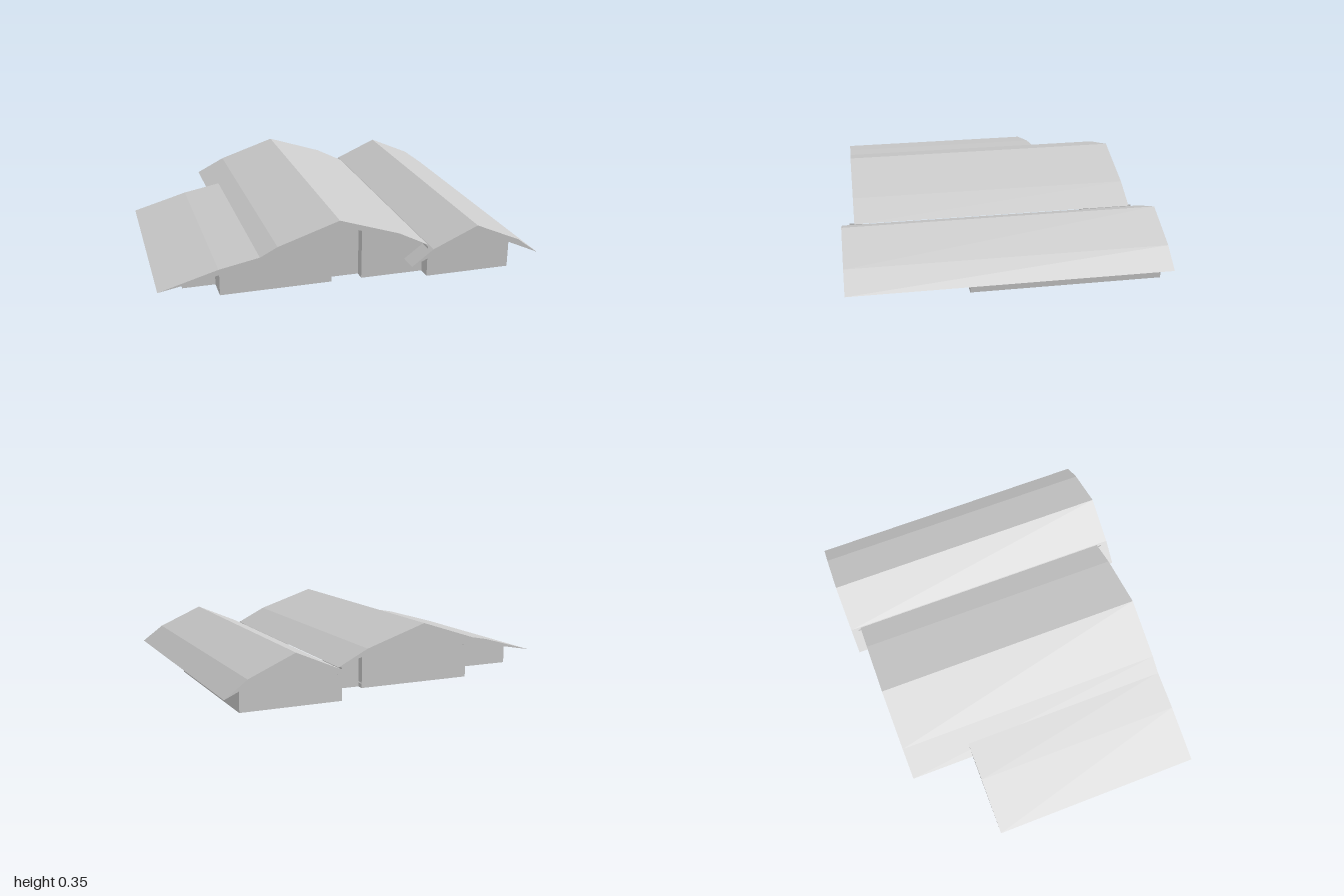
import * as THREE from 'three';

const material = new THREE.MeshStandardMaterial({ color: 0xcccccc, flatShading: true, side: THREE.DoubleSide });

// Roof: closed x/y profile extruded between two z positions
function roof(name, profile, zBack, zFront) {
  const shape = new THREE.Shape(profile.map(([x, y]) => new THREE.Vector2(x, y)));
  const geometry = new THREE.ExtrudeGeometry(shape, { depth: zFront - zBack, bevelEnabled: false });
  geometry.translate(0, 0, zBack);
  const mesh = new THREE.Mesh(geometry, material);
  mesh.name = name;
  return mesh;
}

// Symmetric gable with a kinked upper slope and a straight underside
function gable(cx, peak, under, kinkX, kinkY, eaveX, eaveY) {
  return [[cx - eaveX, eaveY], [cx, under], [cx + eaveX, eaveY],
    [cx + kinkX, kinkY], [cx, peak], [cx - kinkX, kinkY]];
}

// Undersides of the three roofs: [x0, y0, x1, y1]
const soffits = [
  [-1, 0.075, -0.43, 0.18],
  [-0.43, 0.206, -0.08, 0.32],
  [-0.08, 0.32, 0.385, 0.166],
  [0.385, 0.123, 0.64, 0.24],
  [0.64, 0.24, 1, 0.08],
];
const heightOn = ([x0, y0, x1, y1], x) => y0 + (y1 - y0) * (x - x0) / (x1 - x0);

// Ground plan of the outer walls, as x/z corners
const plan = [
  [0.845, 0.77], [0.845, 0.2], [0.91, 0.2], [0.91, -0.775], [0.385, -0.775], [0.385, -0.54],
  [0.18, -0.54], [0.18, -0.58], [-0.45, -0.58], [-0.45, -0.36], [-0.86, -0.36], [-0.86, 0.57],
  [-0.69, 0.57], [-0.69, 0.7], [-0.11, 0.7], [-0.11, 0.645], [0.05, 0.645], [0.05, 0.7],
  [0.385, 0.7], [0.385, 0.77],
];

// Walls: vertical sheets that rise to the roof undersides
function walls() {
  const pos = [];
  const panel = (xa, za, ya, xb, zb, yb) => pos.push(
    xa, 0, za, xb, 0, zb, xb, yb, zb,
    xa, 0, za, xb, yb, zb, xa, ya, za);
  plan.forEach(([xa, za], i) => {
    const [xb, zb] = plan[(i + 1) % plan.length];
    if (xa === xb) {
      const s = soffits.find((q) => xa >= q[0] && xa <= q[2]);
      const y = Math.min(heightOn(s, xa), 0.3);
      panel(xa, za, y, xb, zb, y);
      return;
    }
    const lo = Math.min(xa, xb), hi = Math.max(xa, xb);
    for (const s of soffits) {
      const a = Math.max(lo, s[0]), b = Math.min(hi, s[2]);
      if (b - a < 1e-6) continue;
      const ya = heightOn(s, a), yb = heightOn(s, b);
      if (xb > xa) panel(a, za, ya, b, za, yb);
      else panel(b, za, yb, a, za, ya);
    }
  });
  const geometry = new THREE.BufferGeometry();
  geometry.setAttribute('position', new THREE.Float32BufferAttribute(pos, 3));
  geometry.computeVertexNormals();
  const mesh = new THREE.Mesh(geometry, material);
  mesh.name = 'outerWalls';
  return mesh;
}

export function createModel() {
  const group = new THREE.Group();
  group.name = 'lowHouse';
  group.add(
    roof('mainRoof', gable(-0.083, 0.35, 0.32, 0.32, 0.245, 0.478, 0.165), -0.76, 0.745),
    roof('sideHouseRoof', gable(0.64, 0.27, 0.24, 0.24, 0.165, 0.355, 0.08), -0.815, 0.81),
    roof('leanToRoof', [[-1, 0.075], [-0.43, 0.18], [-0.43, 0.21], [-0.49, 0.2], [-0.7, 0.16]], -0.41, 0.745),
    walls(),
  );
  return group;
}
